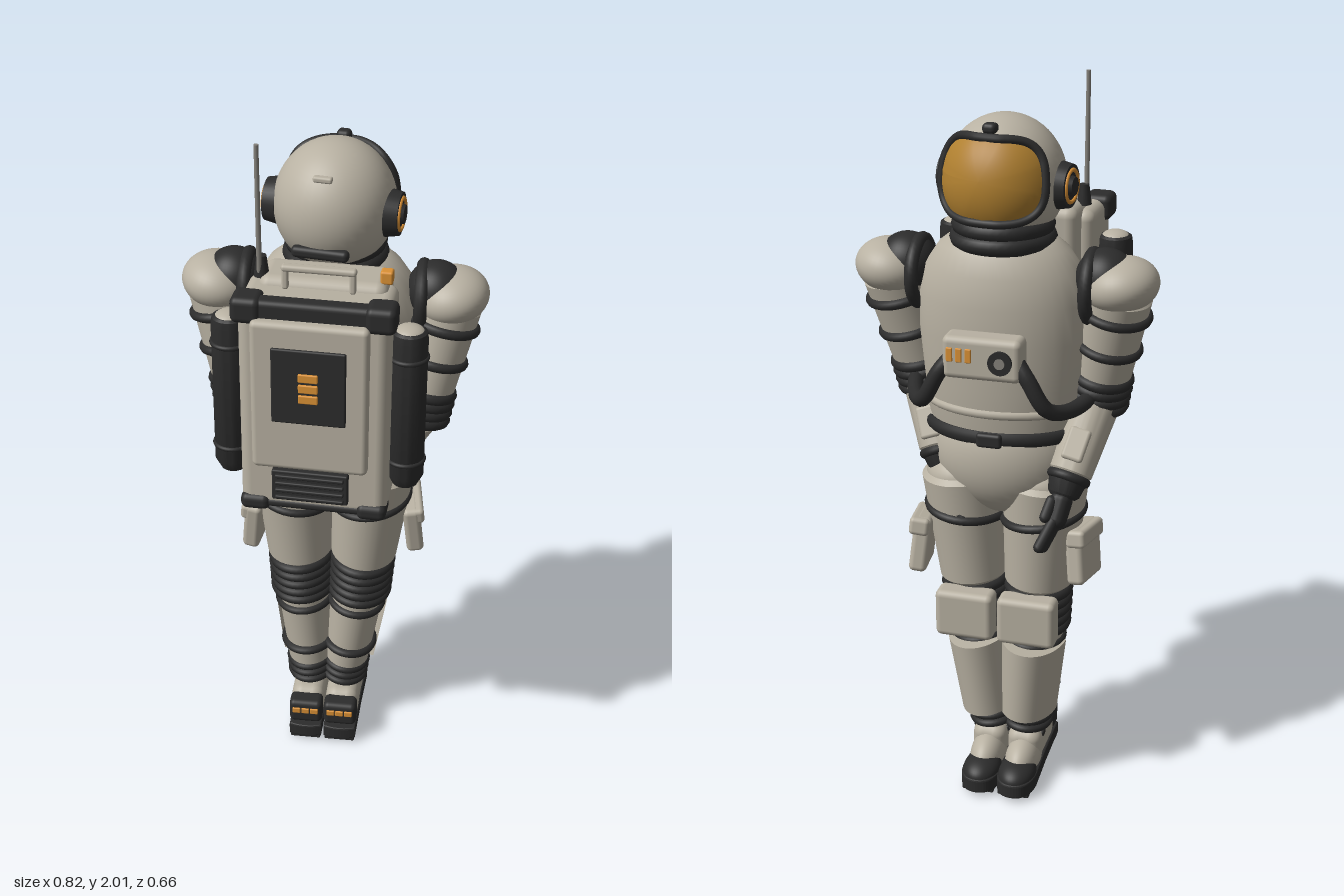
import * as THREE from 'three';
import { RoundedBoxGeometry } from 'three/addons/geometries/RoundedBoxGeometry.js';
import { toCreasedNormals } from 'three/addons/utils/BufferGeometryUtils.js';

const V = (x, y, z) => new THREE.Vector3(x, y, z);
const material = (name, color, side = THREE.FrontSide) => {
  const m = new THREE.MeshStandardMaterial({ color, side });
  m.name = name;
  return m;
};

export function createModel() {
  const cream = material('suit cream', 0xb8b1a2, THREE.DoubleSide);
  const dark = material('rubber dark', 0x2c2c2c);
  const amber = material('amber', 0xdc9236);
  const gold = material('visor gold', 0xb08030, THREE.DoubleSide);
  const grey = material('antenna grey', 0x85827b);
  const root = new THREE.Group();
  root.name = 'astronaut';

  // ---- helpers ----
  const add = (parent, name, geo, mat, x = 0, y = 0, z = 0) => {
    const m = new THREE.Mesh(geo, mat);
    m.name = name;
    m.position.set(x, y, z);
    parent.add(m);
    return m;
  };
  const group = (name, parent = root) => {
    const g = new THREE.Group();
    g.name = name;
    parent.add(g);
    return g;
  };
  const box = (p, name, mat, w, h, d, x, y, z, r = 0.012) =>
    add(p, name, new RoundedBoxGeometry(w, h, d, 3, Math.min(r, w / 2.1, h / 2.1, d / 2.1)), mat, x, y, z);
  const ball = (p, name, mat, x, y, z, rx, ry = rx, rz = rx) => {
    const m = add(p, name, new THREE.SphereGeometry(1, 40, 28), mat, x, y, z);
    m.scale.set(rx, ry, rz);
    return m;
  };
  const lathe = (pts) => toCreasedNormals(new THREE.LatheGeometry(pts.map(([r, y]) => new THREE.Vector2(r, y)), 40), 0.6);
  const ring = (p, name, mat, y, r, tube, x = 0, z = 0) => {
    const m = add(p, name, new THREE.TorusGeometry(r, tube, 10, 40), mat, x, y, z);
    m.rotation.x = Math.PI / 2;
    return m;
  };
  // group at a whose local -y runs towards b
  const along = (name, a, b, parent = root) => {
    const g = group(name, parent);
    g.position.copy(a);
    g.quaternion.setFromUnitVectors(V(0, -1, 0), b.clone().sub(a).normalize());
    return g;
  };
  // bevelled tapered sleeve from depth a to depth b below the group origin
  const sleeve = (p, name, mat, a, b, r0, r1, e = 0.01) =>
    add(p, name, lathe([[0, -b], [r1 - e, -b], [r1, -b + e], [r0, -a - e], [r0 - e, -a], [0, -a]]), mat);
  const bellows = (p, name, a, b, n, r, tube) => {
    sleeve(p, name + 'Core', dark, a, b, r, r);
    for (let i = 0; i < n; i++) ring(p, name + 'Rib', dark, -a - ((i + 0.5) / n) * (b - a), r, tube);
  };

  // ---- torso, pelvis, belt ----
  const torso = group('torso');
  torso.position.z = -0.092;
  torso.scale.z = 0.68;
  add(torso, 'chestShell', lathe([[0, 1.04], [0.19, 1.05], [0.208, 1.12], [0.218, 1.22], [0.23, 1.35], [0.228, 1.45],
    [0.211, 1.53], [0.174, 1.585], [0.13, 1.62], [0, 1.63]]), cream);
  ring(torso, 'belt', dark, 1.09, 0.207, 0.015).scale.z = 1.3;
  ring(torso, 'waistSeam', cream, 1.16, 0.21, 0.012);
  ball(root, 'pelvis', cream, -0.005, 1.01, -0.095, 0.2, 0.18, 0.155);
  box(root, 'beltBuckle', dark, 0.07, 0.04, 0.02, 0, 1.09, -0.243);
  for (const s of [-1, 1]) box(root, 'hipPouch', cream, 0.065, 0.09, 0.1, s * 0.155, 1.052, 0.03, 0.015);

  // ---- chest control box ----
  box(root, 'chestBox', cream, 0.21, 0.115, 0.075, 0, 1.34, -0.278, 0.018);
  for (let i = 0; i < 3; i++) box(root, 'chestButton', amber, 0.017, 0.038, 0.008, 0.033 + i * 0.025, 1.35, -0.3155, 0.003);
  const dial = add(root, 'chestDial', new THREE.CylinderGeometry(0.03, 0.032, 0.018, 24), dark, -0.053, 1.34, -0.317);
  dial.rotation.x = Math.PI / 2;
  const knob = add(root, 'dialKnob', new THREE.CylinderGeometry(0.014, 0.014, 0.006, 20), grey, -0.053, 1.34, -0.327);
  knob.rotation.x = Math.PI / 2;

  // ---- air hoses from backpack to chest ----
  for (const s of [-1, 1]) {
    const path = [V(0.18, 1.28, 0.11), V(0.24, 1.245, 0.04), V(0.25, 1.2, -0.08), V(0.21, 1.185, -0.21),
      V(0.165, 1.21, -0.28), V(0.12, 1.29, -0.295), V(0.09, 1.33, -0.285)].map((v) => V(v.x * s, v.y, v.z));
    add(root, 'airHose', new THREE.TubeGeometry(new THREE.CatmullRomCurve3(path), 60, 0.021, 12), dark);
  }

  // ---- neck and helmet (turned slightly) ----
  for (const [y, r] of [[1.61, 0.117], [1.645, 0.112]]) ring(root, 'neckRing', dark, y, r, 0.024, 0, -0.097);
  const head = group('helmet');
  head.position.set(0, 1.755, -0.08);
  head.rotation.y = -0.14;
  const R = [0.16, 0.17, 0.164];
  ball(head, 'helmetShell', cream, 0, 0, 0, ...R);
  // rounded-rectangle patch on the helmet, k = 0 centre, 1 rim
  const onVisor = (k, t, lift) => {
    const sq = (c) => Math.sign(c) * Math.pow(Math.abs(c), 0.55);
    const v = sq(Math.sin(t)) * k, u = sq(Math.cos(t)) * k * (1 + 0.05 * v);
    const lon = u * 1.1, lat = 0.17 + v * 0.66;
    return V(Math.sin(lon) * Math.cos(lat) * R[0], Math.sin(lat) * R[1], -Math.cos(lon) * Math.cos(lat) * R[2]).multiplyScalar(lift);
  };
  const visor = new THREE.PlaneGeometry(1, 1, 64, 12);
  const vp = visor.attributes.position, vu = visor.attributes.uv;
  for (let i = 0; i < vp.count; i++) {
    const p = onVisor(vu.getY(i), vu.getX(i) * Math.PI * 2, 1.014);
    vp.setXYZ(i, p.x, p.y, p.z);
  }
  visor.computeVertexNormals();
  add(head, 'visor', visor, gold);
  const rim = Array.from({ length: 48 }, (_, i) => onVisor(1, ((i + 0.5) / 48) * Math.PI * 2, 1.02));
  add(head, 'visorFrame', new THREE.TubeGeometry(new THREE.CatmullRomCurve3(rim, true), 120, 0.0115, 10, true), dark);
  for (const s of [-1, 1]) {
    const ear = group('earCup', head);
    ear.position.set(s * 0.142, -0.005, 0.014);
    ear.rotation.z = -s * Math.PI / 2;
    add(ear, 'earHousing', new THREE.CylinderGeometry(0.056, 0.063, 0.036, 36), dark, 0, 0.018, 0);
    ring(ear, 'earRing', amber, 0.036, 0.041, 0.0055);
    add(ear, 'earKnob', new THREE.CylinderGeometry(0.024, 0.028, 0.012, 24), dark, 0, 0.04, 0);
  }
  box(head, 'topLamp', dark, 0.038, 0.028, 0.035, 0, 0.148, -0.09);
  box(head, 'chinMicrophone', dark, 0.1, 0.04, 0.04, 0, -0.105, -0.12);
  box(head, 'rearClip', cream, 0.05, 0.016, 0.02, 0, 0.115, 0.119, 0.006);
  box(head, 'rearBand', dark, 0.15, 0.03, 0.03, 0, -0.075, 0.147);

  // ---- backpack ----
  const pack = group('backpack');
  pack.position.set(-0.008, 1.34, 0.197);
  pack.rotation.set(-0.035, -0.05, 0);
  box(pack, 'packBody', cream, 0.385, 0.6, 0.185, 0, 0, 0, 0.03);
  box(pack, 'packInnerBlock', cream, 0.33, 0.57, 0.14, 0.005, 0.035, -0.075, 0.03);
  box(pack, 'packPanel', cream, 0.3, 0.42, 0.04, -0.005, 0.05, 0.1, 0.015);
  box(pack, 'packPlate', dark, 0.19, 0.21, 0.012, -0.005, 0.09, 0.121, 0.005);
  for (let i = 0; i < 3; i++) box(pack, 'packMark', amber, 0.05, 0.023, 0.009, -0.005, 0.06 + i * 0.03, 0.128, 0.003);
  box(pack, 'packGrille', dark, 0.2, 0.09, 0.025, -0.005, -0.215, 0.098, 0.005);
  for (let i = 0; i < 4; i++) box(pack, 'grilleSlat', dark, 0.18, 0.01, 0.03, -0.005, -0.247 + i * 0.021, 0.105, 0.004);
  for (const y of [0.275, -0.285]) {
    const top = y > 0, h = top ? 0.07 : 0.045;
    box(pack, 'packBumper', dark, 0.32, top ? 0.06 : 0.026, 0.05, 0, y, 0.07, 0.015);
    for (const s of [-1, 1]) box(pack, 'packCorner', dark, 0.078, h, 0.08, s * (top ? 0.169 : 0.154), y, 0.063, 0.018);
  }
  for (const s of [-1, 1]) {
    const tank = group('sideTank', pack);
    tank.position.set(s * 0.23, -0.01, 0.002);
    add(tank, 'tankBody', lathe([[0, -0.23], [0.033, -0.225], [0.048, -0.195], [0.048, 0.2], [0.045, 0.22], [0.038, 0.225], [0, 0.225]]), dark);
    ball(tank, 'tankCap', cream, 0, 0.215, 0, 0.04, 0.022, 0.04);
    for (const y of [-0.15, 0.15]) {
      ring(tank, 'tankStrap', dark, y, 0.046, 0.007);
      box(tank, 'tankBracket', dark, 0.06, 0.03, 0.04, -s * 0.03, y, 0);
    }
  }
  for (const s of [-1, 1]) box(pack, 'handlePost', cream, 0.016, 0.06, 0.02, s * 0.085, 0.33, 0.0, 0.006);
  box(pack, 'handleBar', cream, 0.19, 0.018, 0.025, 0, 0.357, 0.0, 0.008);
  add(pack, 'antennaBase', new THREE.CylinderGeometry(0.013, 0.02, 0.055, 20), dark, -0.155, 0.335, -0.047);
  box(pack, 'packButton', amber, 0.032, 0.035, 0.032, 0.163, 0.33, -0.05, 0.006);
  add(root, 'antenna', new THREE.CylinderGeometry(0.006, 0.007, 0.35, 12), grey, -0.164, 1.825, 0.142);

  // ---- arms ----
  const arm = (s, shoulder, elbow, wrist, tip) => {
    const a = group(s > 0 ? 'leftArm' : 'rightArm');
    const { x, y, z } = shoulder;
    ball(a, 'shoulderJoint', dark, x - s * 0.042, y + 0.014, z, 0.079);
    const cuff = ring(a, 'shoulderRing', dark, y - 0.01, 0.085, 0.018, x - s * 0.078, z);
    cuff.rotation.set(0, Math.PI / 2, 0);
    ball(a, 'shoulderPad', cream, x, y, z, 0.1, 0.073, 0.106).rotation.z = s * 0.15;
    const up = along('upperArm', shoulder, elbow, a), L = shoulder.distanceTo(elbow);
    sleeve(up, 'upperSleeve', cream, 0.02, L - 0.03, 0.088, 0.074);
    ring(up, 'upperBand', dark, -0.08, 0.085, 0.014);
    ring(up, 'lowerBand', dark, -0.18, 0.078, 0.014);
    bellows(up, 'elbow', L - 0.06, L + 0.04, 4, 0.068, 0.0175);
    const fore = along('forearm', elbow, wrist, a), F = elbow.distanceTo(wrist);
    ball(fore, 'elbowBall', dark, 0, 0, 0, 0.068);
    sleeve(fore, 'foreSleeve', cream, 0.03, F - 0.01, 0.067, 0.059);
    box(fore, 'wristPanel', cream, 0.06, 0.09, 0.02, 0, -F * 0.65, -0.058);
    ring(fore, 'wristBand', dark, -F + 0.005, 0.047, 0.014);
    // gloved hand: cuff, palm, four fingers, thumb
    const hand = along('hand', wrist, tip, a);
    sleeve(hand, 'gloveCuff', dark, -0.01, 0.05, 0.052, 0.044);
    box(hand, 'palm', dark, 0.055, 0.1, 0.085, 0, -0.085, 0, 0.024);
    for (let i = 0; i < 4; i++) {
      const f = add(hand, 'finger', new THREE.CapsuleGeometry(0.015, 0.075, 4, 10), dark, -s * 0.008, -0.158, -0.031 + i * 0.021);
      f.rotation.z = -s * 0.2;
    }
    const thumb = add(hand, 'thumb', new THREE.CapsuleGeometry(0.015, 0.05, 4, 10), dark, -s * 0.02, -0.09, -0.042);
    thumb.rotation.x = 0.4;
  };
  arm(1, V(0.31, 1.503, -0.085), V(0.245, 1.19, -0.03), V(0.168, 0.99, -0.13), V(0.1, 0.83, -0.185));
  arm(-1, V(-0.315, 1.503, -0.098), V(-0.255, 1.19, -0.055), V(-0.203, 0.98, -0.19), V(-0.165, 0.8, -0.28));

  // ---- legs ----
  const leg = (s, hip, knee, ankle, pouchZ) => {
    const l = group(s > 0 ? 'leftLeg' : 'rightLeg');
    const th = along('thigh', hip, knee, l), T = hip.distanceTo(knee);
    th.scale.z = 1.15;
    ball(th, 'hipCap', cream, 0, 0, 0, 0.106, 0.075, 0.106);
    sleeve(th, 'thighSleeve', cream, -0.015, T - 0.065, 0.118, 0.097, 0.018);
    ring(th, 'thighStrap', dark, -0.105, 0.109, 0.013).rotation.y = s * 0.17;
    bellows(th, 'knee', T - 0.07, T + 0.07, 5, 0.081, 0.016);
    const pouch = box(l, 'thighPouch', cream, 0.05, 0.16, 0.15, hip.x + s * 0.11, 0.73, pouchZ, 0.015);
    const flap = box(l, 'pouchFlap', cream, 0.056, 0.05, 0.156, hip.x + s * 0.112, 0.785, pouchZ + 0.002, 0.012);
    for (const m of [pouch, flap]) m.rotation.set(0.12, s * 0.15, s * 0.1);
    box(l, 'kneePad', cream, 0.165, 0.14, 0.07, knee.x, 0.55, -0.213, 0.018);
    const shin = along('shin', knee, ankle, l), S = knee.distanceTo(ankle);
    shin.scale.z = 1.15;
    sleeve(shin, 'shinSleeve', cream, 0.06, S - 0.03, 0.08, 0.066);
    ring(shin, 'upperStrap', dark, -0.105, 0.076, 0.013);
    ring(shin, 'lowerStrap', dark, -0.265, 0.071, 0.013);
    // curved shin guard wrapping the front
    const guard = new THREE.CylinderGeometry(0.093, 0.083, 0.23, 32, 1, false, Math.PI - 1.4 - s * 0.1, 2.8);
    add(shin, 'shinGuard', guard, cream, 0, -0.218, 0).scale.z = 1.33;
    bellows(shin, 'ankle', S - 0.045, S + 0.03, 3, 0.06, 0.013);

    // boot: sole with treads, upper, toe cap, marked heel
    const boot = group('boot', l);
    boot.position.set(ankle.x, 0, -0.1);
    const sole = new THREE.Shape();
    sole.moveTo(-0.045, -0.16).quadraticCurveTo(0, -0.175, 0.045, -0.16).lineTo(0.048, 0).lineTo(0.053, 0.12)
      .quadraticCurveTo(0.05, 0.197, 0, 0.197).quadraticCurveTo(-0.05, 0.197, -0.053, 0.12).lineTo(-0.048, 0).closePath();
    const soleGeo = new THREE.ExtrudeGeometry(sole, { depth: 0.032, bevelSize: 0.004, bevelThickness: 0.005, bevelSegments: 2 });
    add(boot, 'sole', soleGeo.rotateX(-Math.PI / 2), dark, 0, 0.015, 0);
    for (let i = 0; i < 7; i++) box(boot, 'tread', dark, 0.092, 0.02, 0.04, 0, 0.01, 0.145 - i * 0.05, 0.004);
    box(boot, 'bootUpper', cream, 0.1, 0.11, 0.19, 0, 0.095, 0.025, 0.035);
    ball(boot, 'bootInstep', cream, 0, 0.06, -0.055, 0.05, 0.065, 0.095);
    ball(boot, 'toeCap', dark, 0, 0.05, -0.122, 0.054, 0.04, 0.075);
    box(boot, 'heel', dark, 0.1, 0.08, 0.06, 0, 0.098, 0.132, 0.016);
    for (let i = -1; i < 2; i++) box(boot, 'heelMark', amber, 0.024, 0.019, 0.009, i * 0.027, 0.108, 0.162, 0.003);
    box(boot, 'bootBuckle', dark, 0.106, 0.018, 0.026, 0, 0.125, -0.015, 0.006);
  };
  leg(1, V(0.111, 0.94, -0.098), V(0.078, 0.55, -0.098), V(0.032, 0.18, -0.095), -0.143);
  leg(-1, V(-0.119, 0.94, -0.098), V(-0.099, 0.55, -0.098), V(-0.073, 0.18, -0.095), -0.105);
  return root;
}
